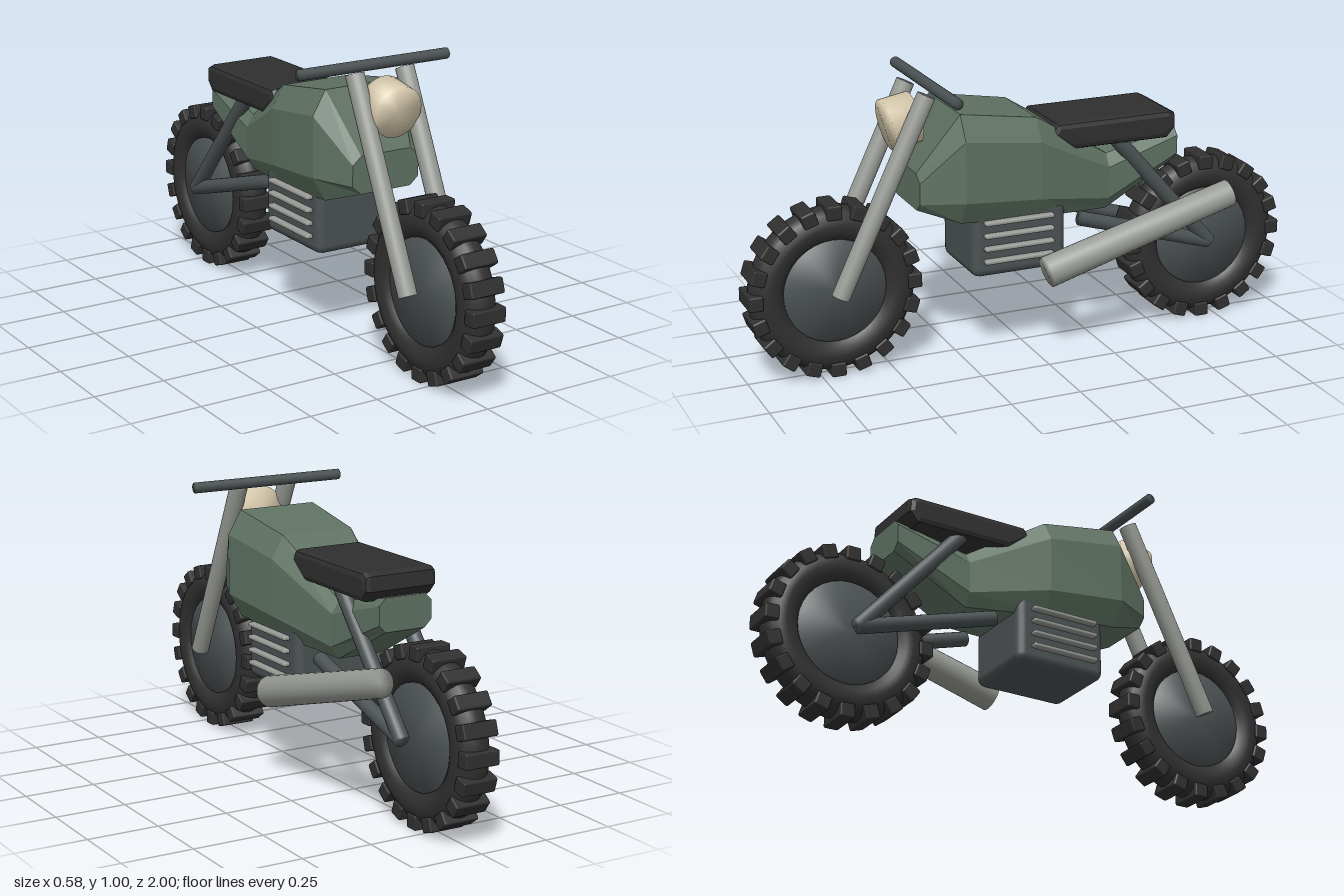
import * as THREE from 'three';
import { mergeVertices } from 'three/addons/utils/BufferGeometryUtils.js';
import { RoundedBoxGeometry } from 'three/addons/geometries/RoundedBoxGeometry.js';

const mat = (name, color, flatShading = false) => {
  const m = new THREE.MeshStandardMaterial({ color, flatShading });
  m.name = name;
  return m;
};

// Cylinder whose caps blend softly into its wall
function softCylinder(rTop, rBottom, length, sides) {
  const g = new THREE.CylinderGeometry(rTop, rBottom, length, sides);
  g.deleteAttribute('uv');
  g.deleteAttribute('normal');
  const merged = mergeVertices(g, 1e-4);
  merged.computeVertexNormals();
  return merged;
}

// Octagonal cross-sections joined front to back: [z, bottom, top, halfWidth]
function octagonLoft(stations) {
  const rings = stations.map(([z, y0, y1, w]) => {
    const c = (y1 - y0) * 0.22, t = w * 0.75;
    return [[t, y0], [w, y0 + c], [w, y1 - c], [t, y1], [-t, y1], [-w, y1 - c], [-w, y0 + c], [-t, y0]]
      .map(([x, y]) => [x, y, z]);
  });
  const pos = [];
  const tri = (...corners) => corners.forEach((p) => pos.push(...p));
  for (let i = 0; i < rings.length - 1; i++) {
    for (let j = 0; j < 8; j++) {
      const k = (j + 1) % 8, f = rings[i], b = rings[i + 1];
      tri(f[j], b[j], f[k]);
      tri(f[k], b[j], b[k]);
    }
  }
  const first = rings[0], last = rings[rings.length - 1];
  for (let j = 1; j < 7; j++) {
    tri(first[0], first[j], first[j + 1]);
    tri(last[0], last[j + 1], last[j]);
  }
  const g = new THREE.BufferGeometry();
  g.setAttribute('position', new THREE.Float32BufferAttribute(pos, 3));
  g.computeVertexNormals();
  return g;
}

export function createModel() {
  const model = new THREE.Group();
  model.name = 'motorcycle';
  const green = mat('green paint', 0x5f7263, true);
  const rubber = mat('tyre rubber', 0x303030);
  const leather = mat('seat leather', 0x2f2f2f);
  const steel = mat('dark steel', 0x4b5153);
  const metal = mat('light metal', 0x989b95);
  const cream = mat('cream lamp', 0xd6c9ac);

  const add = (name, geometry, material, parent = model) => {
    const mesh = new THREE.Mesh(geometry, material);
    mesh.name = name;
    parent.add(mesh);
    return mesh;
  };
  // Round rod between two points
  const rod = (name, a, b, rA, rB, material, sides = 20) => {
    const from = new THREE.Vector3(...a), to = new THREE.Vector3(...b);
    const dir = to.clone().sub(from);
    const mesh = add(name, softCylinder(rB, rA, dir.length(), sides), material);
    mesh.position.copy(from).add(to).multiplyScalar(0.5);
    mesh.quaternion.setFromUnitVectors(new THREE.Vector3(0, 1, 0), dir.normalize());
    return mesh;
  };

  // Wheels: tyre ring, chunky tread blocks and hub disc
  const tyreGeo = new THREE.TorusGeometry(0.23, 0.063, 16, 48).rotateY(Math.PI / 2);
  const lugGeo = new RoundedBoxGeometry(0.128, 0.05, 0.052, 1, 0.006);
  const hubGeo = softCylinder(0.18, 0.18, 0.09, 32).rotateZ(Math.PI / 2);
  for (const [name, z] of [['frontWheel', 0.695], ['rearWheel', -0.695]]) {
    const wheel = new THREE.Group();
    wheel.name = name;
    wheel.position.set(0, 0.305, z);
    model.add(wheel);
    add('tyre', tyreGeo, rubber, wheel);
    add('hub', hubGeo, steel, wheel);
    const lugs = 20;
    for (let i = 0; i < lugs; i++) {
      const a = (i / lugs) * Math.PI * 2;
      const lug = add('treadBlock', lugGeo, rubber, wheel);
      lug.position.set(0, Math.cos(a) * 0.28, Math.sin(a) * 0.28);
      lug.rotation.x = a;
    }
  }

  // Faceted tank and tail
  add('body', octagonLoft([
    [0.42, 0.57, 0.70, 0.13],
    [0.28, 0.52, 0.90, 0.195],
    [0.0, 0.50, 0.855, 0.18],
    [-0.285, 0.48, 0.68, 0.115],
    [-0.555, 0.625, 0.74, 0.10],
  ]), green);

  // Seat: side profile extruded across with a soft bevel
  const bevel = 0.02;
  const profile = [[-0.08, 0.785], [-0.145, 0.742], [-0.49, 0.74], [-0.512, 0.765], [-0.51, 0.795], [-0.5, 0.8], [-0.09, 0.8]];
  const seatShape = new THREE.Shape(profile.map(([z, y]) => new THREE.Vector2(-z, y)));
  const seatGeo = new THREE.ExtrudeGeometry(seatShape, {
    depth: 0.276 - 2 * bevel, bevelThickness: bevel, bevelSize: bevel, bevelSegments: 2,
  });
  seatGeo.translate(0, 0, bevel - 0.138).rotateY(Math.PI / 2);
  add('seat', seatGeo, leather);

  // Engine block with cooling fins on both sides
  const engine = add('engine', new RoundedBoxGeometry(0.29, 0.25, 0.345, 2, 0.03), steel);
  engine.position.set(0, 0.435, 0.063);
  for (const side of [-1, 1]) {
    for (let i = 0; i < 4; i++) {
      const fin = add('coolingFin', new RoundedBoxGeometry(0.04, 0.016, 0.255, 2, 0.007), metal);
      fin.position.set(side * 0.147, 0.37 + i * 0.046, 0.07);
    }
  }

  // Fork legs, rear struts and swing arms
  for (const side of [-1, 1]) {
    const x = side * 0.098;
    rod('forkLeg', [x, 0.30, 0.695], [x, 0.965, 0.38], 0.032, 0.032, metal);
    rod('rearStrut', [x, 0.305, -0.69], [x, 0.74, -0.31], 0.027, 0.027, steel);
    rod('swingArm', [x, 0.305, -0.69], [x, 0.46, -0.18], 0.026, 0.026, steel);
  }

  // Handlebar, exhaust on the left side, and headlight
  rod('handlebar', [-0.292, 0.98, 0.345], [0.292, 0.98, 0.345], 0.019, 0.019, steel);
  rod('exhaust', [0.195, 0.318, -0.015], [0.195, 0.512, -0.715], 0.055, 0.048, metal, 24);
  rod('headlight', [0, 0.868, 0.39], [0, 0.848, 0.488], 0.088, 0.09, cream, 32);

  return model;
}
